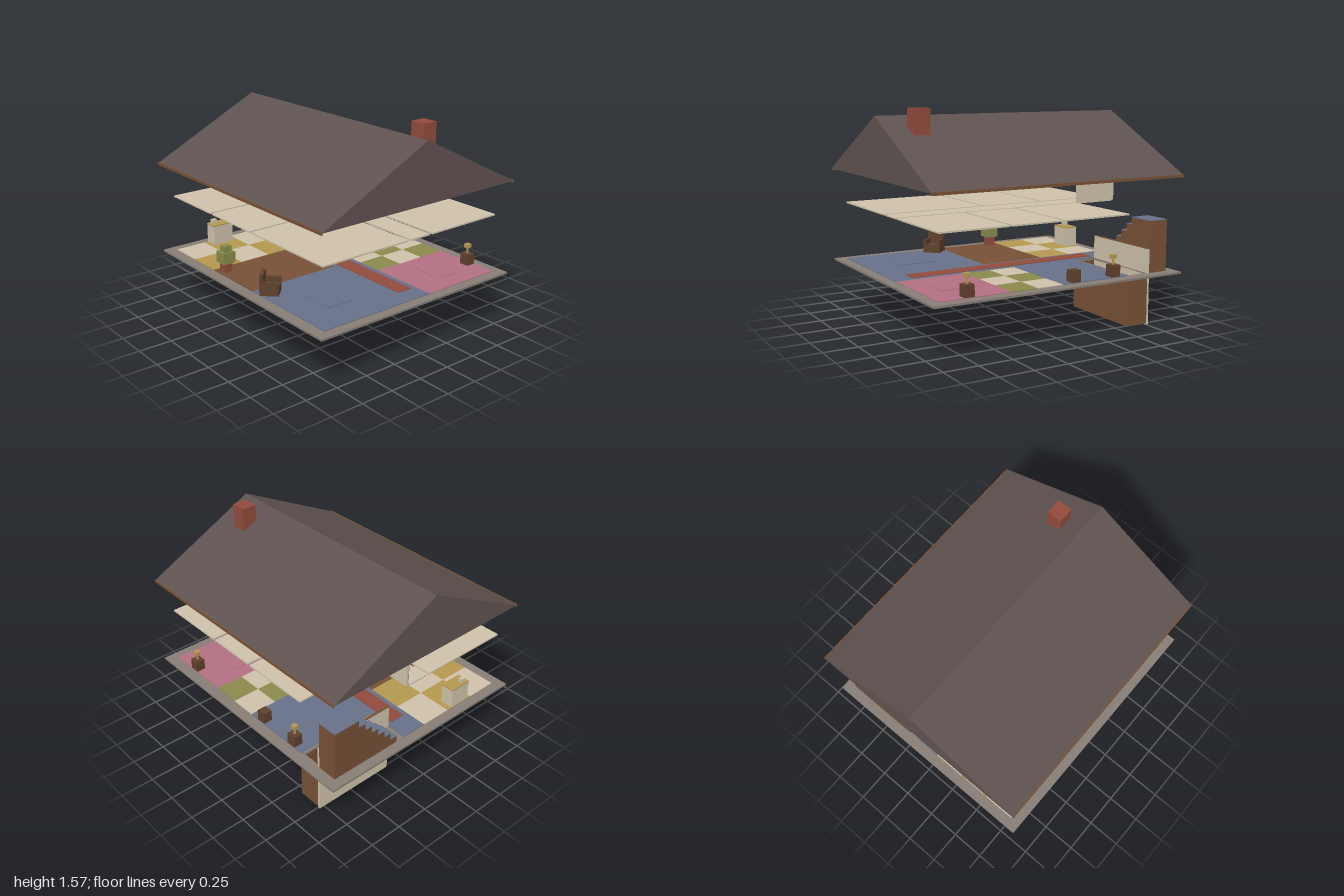
import * as THREE from 'three';

const mat = (name, color) => {
  const m = new THREE.MeshStandardMaterial({ color });
  m.name = name;
  return m;
};

export function createModel() {
  const root = new THREE.Group();
  root.name = 'explodedHouse';
  const roofTile = mat('roofTile', 0x5f5250), wood = mat('wood', 0x755036), darkWood = mat('darkWood', 0x5f402c);
  const cream = mat('cream', 0xcdc1aa), brick = mat('brick', 0x914b3c), yellow = mat('yellow', 0xb4974e);
  const olive = mat('olive', 0x898a4c), pink = mat('pink', 0xb27082), blue = mat('blue', 0x667087);
  const grey = mat('grey', 0x857d75);

  const group = (name, parent = root) => {
    const g = new THREE.Group();
    g.name = name;
    parent.add(g);
    return g;
  };
  // Box given by its limits on each axis
  const box = (name, m, [x0, x1], [y0, y1], [z0, z1], parent = root) => {
    const mesh = new THREE.Mesh(new THREE.BoxGeometry(x1 - x0, y1 - y0, z1 - z0), m);
    mesh.position.set((x0 + x1) / 2, (y0 + y1) / 2, (z0 + z1) / 2);
    mesh.name = name;
    parent.add(mesh);
    return mesh;
  };

  // Roof: triangular prism along x
  const gable = new THREE.Shape([[-0.87, 1.08], [0.87, 1.08], [0, 1.515]].map(p => new THREE.Vector2(...p)));
  const roofGeo = new THREE.ExtrudeGeometry(gable, { depth: 2, bevelEnabled: false });
  roofGeo.translate(0, 0, -1).rotateY(Math.PI / 2);
  const roof = new THREE.Mesh(roofGeo, roofTile);
  roof.name = 'roof';
  root.add(roof);
  for (const s of [-1, 1]) {
    box('eavesBoard', wood, [-1, 1], [1.067, 1.087], s > 0 ? [0.864, 0.873] : [-0.873, -0.864]);
  }
  box('chimney', brick, [0.7, 0.82], [1.065, 1.57], [-0.25, -0.135]);

  // Base slab with the opening of the cellar stair
  const rect = (P, x0, x1, z0, z1) => new P([[x0, -z1], [x1, -z1], [x1, -z0], [x0, -z0]].map(p => new THREE.Vector2(...p)));
  const slabShape = rect(THREE.Shape, -0.995, 0.995, -0.87, 0.87);
  slabShape.holes.push(rect(THREE.Path, -0.75, -0.595, -0.775, -0.145));
  const slabGeo = new THREE.ExtrudeGeometry(slabShape, { depth: 0.015, bevelEnabled: false });
  slabGeo.rotateX(-Math.PI / 2).translate(0, 0.364, 0);
  const slab = new THREE.Mesh(slabGeo, grey);
  slab.name = 'baseSlab';
  root.add(slab);

  // Room floors
  const floors = group('roomFloors');
  const FY = [0.379, 0.384];
  const plain = (name, m, xs, zs) => box(name, m, xs, FY, zs, floors);
  const checker = (name, m, [x0, x1], [z0, z1], odd) => {
    const w = (x1 - x0) / 2, d = (z1 - z0) / 3;
    for (let i = 0; i < 2; i++) for (let j = 0; j < 3; j++) {
      plain(name, (i + j) % 2 === odd ? m : cream, [x0 + i * w, x0 + (i + 1) * w], [z0 + j * d, z0 + (j + 1) * d]);
    }
  };
  checker('kitchenTile', yellow, [-0.92, -0.385], [0.057, 0.79], 1);
  plain('diningFloor', wood, [-0.385, 0.12], [0.057, 0.79]);
  plain('livingFloor', blue, [0.12, 0.92], [0.057, 0.79]);
  plain('hallFloor', blue, [-0.92, 0.92], [-0.143, 0.057]);
  plain('bedroomFloor', blue, [-0.575, -0.02], [-0.79, -0.143]);
  checker('bathTile', olive, [-0.02, 0.39], [-0.79, -0.143], 1);
  plain('pinkBedroomFloor', pink, [0.39, 0.92], [-0.79, -0.143]);
  box('hallRug', brick, [-0.75, 0.78], [0.384, 0.388], [-0.1, 0.02]);
  box('livingRug', blue, [0.38, 0.67], [0.384, 0.388], [0.33, 0.55]);
  box('bedroomRug', pink, [0.5, 0.78], [0.384, 0.388], [-0.55, -0.38]);

  // Ceiling panels with square lights
  const ceilings = group('ceilings');
  const ceiling = (xs, zs, light, y = 0.815) => {
    box('ceilingPanel', cream, xs, [y, y + 0.011], zs, ceilings);
    if (light) {
      const [x, z] = light;
      box('ceilingLight', cream, [x - 0.04, x + 0.04], [y - 0.011, y], [z - 0.042, z + 0.042], ceilings);
    }
  };
  ceiling([-0.92, -0.395], [0.07, 0.795], [-0.655, 0.435]);
  ceiling([-0.375, 0.11], [0.07, 0.795]);
  ceiling([0.13, 0.915], [0.07, 0.795], [0.525, 0.435]);
  ceiling([-0.92, 0.915], [-0.13, 0.045], [0, -0.042]);
  ceiling([-0.575, -0.03], [-0.79, -0.155], [-0.3, -0.475]);
  ceiling([-0.01, 0.38], [-0.79, -0.155], [0.185, -0.475]);
  ceiling([0.4, 0.915], [-0.79, -0.155], [0.66, -0.475]);
  ceiling([-0.92, -0.58], [-0.79, -0.155], [-0.75, -0.475], 1.067);

  // Wall above the stairs
  box('upperStairWall', cream, [-0.92, -0.58], [0.826, 1.078], [-0.153, -0.132]);
  box('upperWallStrip', grey, [-0.92, -0.89], [0.826, 1.078], [-0.132, -0.129]);
  box('upperWallStrip', grey, [-0.665, -0.635], [0.826, 1.078], [-0.132, -0.129]);

  // Stair up, with carpeted treads and a landing at the back
  const stair = group('stairUp');
  for (let i = 1; i <= 7; i++) {
    const top = 0.379 + i * 0.0545, front = -0.16 - i * 0.06, back = i === 7 ? -0.79 : front - 0.06;
    box('step', wood, [-0.92, -0.766], [0.379, top - 0.004], [back, front], stair);
    box('treadCarpet', blue, [-0.92, -0.766], [top - 0.004, top], [back, front], stair);
  }
  box('stairSideWall', cream, [-0.766, -0.75], [0, 0.555], [-0.79, -0.145]);
  box('sideWallCap', wood, [-0.767, -0.749], [0.555, 0.559], [-0.79, -0.145]);

  // Cellar stairwell under the slab
  const well = group('cellarStairwell');
  box('wellSide', wood, [-0.595, -0.575], [0.01, 0.364], [-0.79, -0.125], well);
  box('wellFront', wood, [-0.75, -0.595], [0.01, 0.364], [-0.145, -0.125], well);
  box('wellBack', wood, [-0.75, -0.595], [0.01, 0.364], [-0.79, -0.775], well);
  box('wellFloor', wood, [-0.75, -0.595], [0.01, 0.025], [-0.775, -0.145], well);
  for (let i = 0; i < 6; i++) {
    const z = -0.145 - i * 0.09;
    box('cellarStep', wood, [-0.75, -0.595], [0.025, 0.325 - i * 0.05], [z - 0.09, z], well);
  }

  // Kitchen counter
  const counter = group('kitchenCounter');
  box('cabinet', cream, [-0.92, -0.82], [0.384, 0.533], [0.342, 0.513], counter);
  box('worktop', yellow, [-0.921, -0.819], [0.533, 0.541], [0.34, 0.515], counter);
  box('kettle', cream, [-0.905, -0.875], [0.541, 0.572], [0.45, 0.49], counter);

  // Potted plant
  const plant = group('pottedPlant');
  box('pot', brick, [-0.343, -0.277], [0.384, 0.455], [0.697, 0.763], plant);
  box('lowerLeaves', olive, [-0.36, -0.26], [0.455, 0.54], [0.68, 0.78], plant);
  box('upperLeaves', olive, [-0.337, -0.277], [0.54, 0.585], [0.7, 0.76], plant);

  // Armchair turned toward the middle of the house
  const chair = group('armchair');
  chair.position.set(0.215, 0.384, 0.705);
  chair.rotation.y = Math.PI * 0.75;
  box('seat', darkWood, [-0.067, 0.067], [0, 0.06], [-0.067, 0.067], chair);
  box('backrest', darkWood, [-0.067, 0.067], [0.06, 0.148], [-0.067, -0.042], chair);
  for (const s of [-1, 1]) {
    box('armrest', darkWood, s > 0 ? [0.045, 0.067] : [-0.067, -0.045], [0.06, 0.1], [-0.042, 0.067], chair);
  }

  // Bedside tables with lamps, and a plain cabinet
  for (const x of [-0.468, 0.7]) {
    const table = group('bedsideTable');
    box('tableBody', darkWood, [x - 0.037, x + 0.037], [0.384, 0.468], [-0.79, -0.72], table);
    box('lampStem', yellow, [x - 0.006, x + 0.006], [0.468, 0.512], [-0.761, -0.749], table);
    box('lampShade', yellow, [x - 0.019, x + 0.019], [0.512, 0.541], [-0.774, -0.736], table);
  }
  box('bathCabinet', darkWood, [-0.167, -0.097], [0.384, 0.468], [-0.79, -0.72]);

  return root;
}
